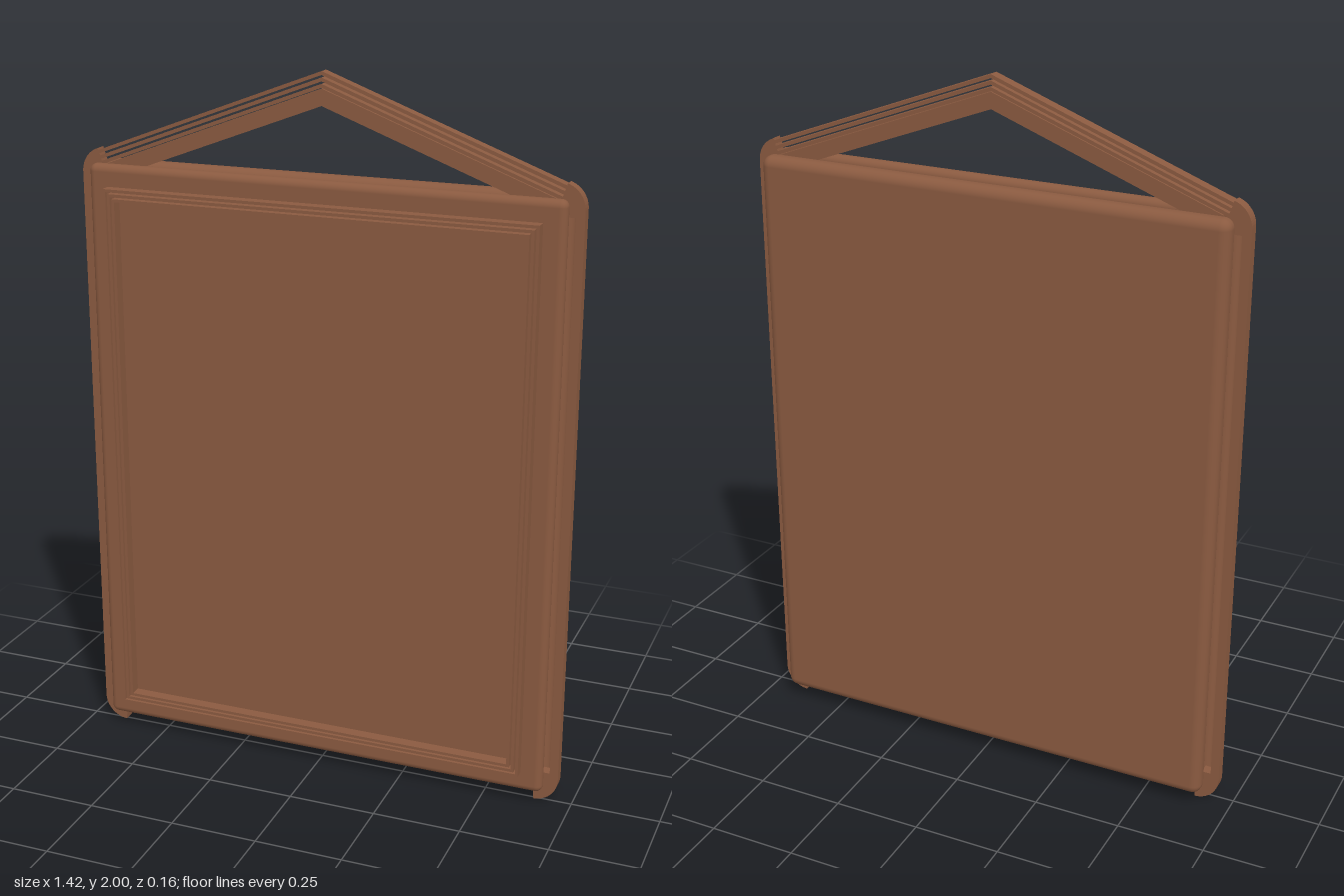
import * as THREE from 'three';
import { RoundedBoxGeometry } from 'three/addons/geometries/RoundedBoxGeometry.js';

export function createModel() {
  const group = new THREE.Group();
  const brown = new THREE.MeshStandardMaterial({ color: 0x8a5a40 });

  const add = (name, geometry, x = 0, y = 0, z = 0) => {
    const mesh = new THREE.Mesh(geometry, brown);
    mesh.name = name;
    mesh.position.set(x, y, z);
    group.add(mesh);
  };
  // Flat outline given thickness from z0 to z1
  const slab = (name, points, z0, z1, hole) => {
    const shape = new THREE.Shape(points.map(([x, y]) => new THREE.Vector2(x, y)));
    if (hole) shape.holes.push(new THREE.Path(hole.map(([x, y]) => new THREE.Vector2(x, y))));
    add(name, new THREE.ExtrudeGeometry(shape, { depth: z1 - z0, bevelEnabled: false }), 0, 0, z0);
  };
  const rect = (w, y0, y1) => [[-w, y0], [w, y0], [w, y1], [-w, y1]];

  // Padded front and back panels with a core between them
  add('frontPanel', new RoundedBoxGeometry(1.345, 1.68, 0.042, 5, 0.02), 0, 0.88, 0.028);
  add('backPanel', new RoundedBoxGeometry(1.345, 1.68, 0.062, 5, 0.028), 0, 0.88, -0.053);
  add('core', new THREE.BoxGeometry(1.31, 1.63, 0.03), 0, 0.88, -0.008);

  // Nested raised borders on the front panel
  for (const inset of [0, 0.013, 0.026]) {
    const w = 0.613 - inset, y0 = 0.1 + inset, y1 = 1.66 - inset, t = 0.008;
    slab('frontBorder', rect(w, y0, y1), 0.045, 0.081, rect(w - t, y0 + t, y1 - t));
  }

  // Peaked handle: three thin strips above a wide band
  const z0 = -0.024, z1 = 0.008, slope = 0.377;
  const handle = (name, top, bottom, reach) => slab(name, [
    [-reach, top - slope * reach], [0, top], [reach, top - slope * reach],
    [reach, bottom - slope * reach], [0, bottom], [-reach, bottom - slope * reach],
  ], z0, z1);
  for (const drop of [0, 0.0165, 0.033]) handle('handleStrip', 2 - drop, 1.99 - drop, 0.66);
  handle('handleBand', 1.955, 1.91, 0.635);

  // Side straps, with thick rounded corners at top and bottom
  const arc = (s, cy, r, from, to) => Array.from({ length: 13 }, (_, i) => {
    const a = THREE.MathUtils.degToRad(from + (to - from) * i / 12);
    return [s * (0.64 + r * Math.cos(a)), cy + r * Math.sin(a)];
  });
  for (const s of [1, -1]) {
    slab('sideStrap', [[s * 0.686, 0.07], [s * 0.71, 0.07], [s * 0.71, 1.69], [s * 0.686, 1.69]], z0, z1);
    slab('topCorner', [[s * 0.66, 1.67], [s * 0.71, 1.67],
      ...arc(s, 1.69, 0.07, 0, 72), ...arc(s, 1.69, 0.018, 72, 0)], z0, z1);
    slab('bottomCorner', [[s * 0.66, 0.088], [s * 0.71, 0.088],
      ...arc(s, 0.07, 0.07, 0, -88), ...arc(s, 0.07, 0.018, -100, 0)], z0, z1);
  }
  return group;
}
